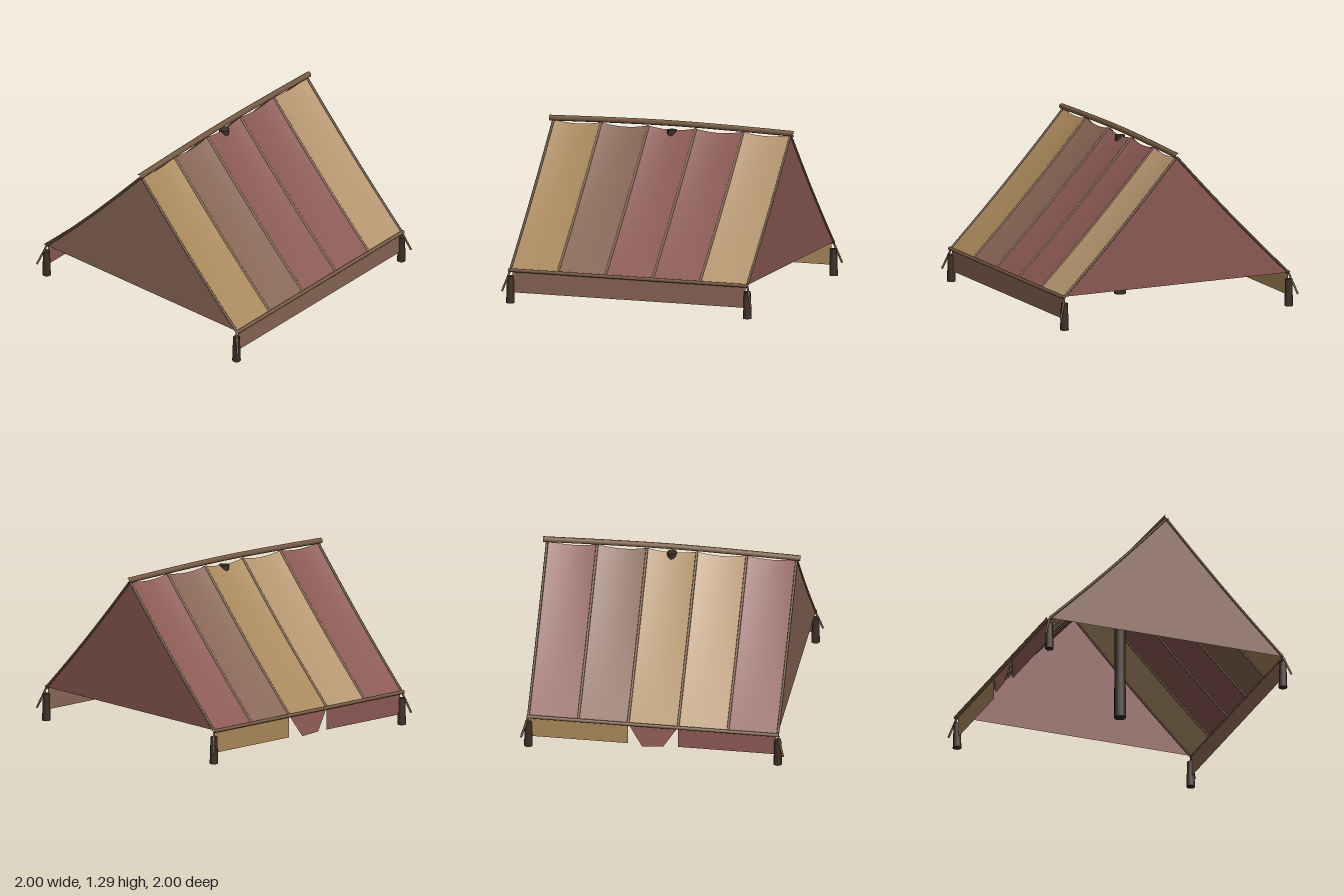
import * as THREE from 'three';

const HALF = 0.945, EAVE_Z = 0.94, EAVE_Y = 0.255, TOP = 1.235, STRIP = HALF * 2 / 5;
const OCHRE = 0xa8875a, BROWN = 0x876554, RED = 0x8a5852, SAND = 0xb4946e;
const WOOD = 0x765a42, DARK = 0x3a2d25;

const cloth = (color) => new THREE.MeshStandardMaterial({ color, side: THREE.DoubleSide });
const wood = (color) => new THREE.MeshStandardMaterial({ color });
const v = (x, y, z) => new THREE.Vector3(x, y, z);

// Height of the roof along its slope: t = 0 at the ridge, 1 at the eave
const slopeY = (t) => TOP + (EAVE_Y - TOP) * t - 0.018 * Math.sin(Math.PI * t);

export function createModel() {
  const group = new THREE.Group();
  const add = (name, geometry, material) => {
    const mesh = new THREE.Mesh(geometry, material);
    mesh.name = name;
    group.add(mesh);
    return mesh;
  };
  const rod = (name, points, radius, color, segments = 12) =>
    add(name, new THREE.TubeGeometry(new THREE.CatmullRomCurve3(points), segments, radius, 8), wood(color));
  const post = (name, x, z, top, r1, r2) =>
    add(name, new THREE.CylinderGeometry(r1, r2, top, 12), wood(DARK)).position.set(x, top / 2, z);
  const flat = (name, points, color) => {
    const shape = new THREE.Shape(points.map(([x, y]) => new THREE.Vector2(x, y)));
    return add(name, new THREE.ShapeGeometry(shape), cloth(color));
  };

  // Roof cloth strips, hanging slack between the seams
  const colors = {
    1: [OCHRE, BROWN, RED, RED, SAND],
    [-1]: [RED, SAND, OCHRE, BROWN, RED],
  };
  for (const side of [1, -1]) {
    colors[side].forEach((color, i) => {
      const g = new THREE.PlaneGeometry(1, 1, 10, 14);
      const p = g.attributes.position;
      for (let k = 0; k < p.count; k++) {
        const u = p.getX(k) + 0.5, t = 0.5 - p.getY(k);
        const slack = 0.022 * 4 * u * (1 - u) * (1 - t);
        const across = side > 0 ? u : 1 - u;
        p.setXYZ(k, -HALF + STRIP * (i + across), slopeY(t) - slack, side * EAVE_Z * t);
      }
      g.computeVertexNormals();
      add('roofStrip', g, cloth(color));
    });

    // Seam poles running down the slope
    for (let i = 0; i <= 5; i++) {
      const x = -HALF + STRIP * i;
      const points = [0, 0.25, 0.5, 0.75, 1].map((t) => v(x, slopeY(t) - 0.002, side * EAVE_Z * t));
      rod('seamPole', points, 0.01, i % 5 ? WOOD : 0x5c4733);
    }

    // Eave rail
    rod('eaveRail', [v(-0.955, 0.25, side * 0.95), v(0.955, 0.25, side * 0.95)], 0.014, WOOD, 1);

    // Corner posts and guy pegs
    for (const sx of [1, -1]) {
      post('cornerPost', sx * HALF, side * EAVE_Z, 0.205, 0.026, 0.033);
      rod('guyPeg', [v(sx * 0.945, 0.25, side * 0.94), v(sx * 0.993, 0.093, side * 0.993)], 0.008, WOOD, 1);
    }
  }

  // Triangular end walls following the sagging slope
  for (const sx of [1, -1]) {
    const outline = [];
    for (let i = -12; i <= 12; i++) outline.push([i / 12 * EAVE_Z, slopeY(Math.abs(i) / 12)]);
    const wall = flat('endWall', outline, sx > 0 ? RED : BROWN);
    wall.rotation.y = sx * Math.PI / 2;
    wall.position.x = sx * HALF;
  }

  // Hanging valances: one along the front, two at the back beside the doorway
  const valance = (x0, x1, z, color) =>
    flat('valance', [[x0, 0.08], [x1, 0.08], [x1, 0.25], [x0, 0.25]], color).position.z = z;
  valance(-0.93, 0.93, EAVE_Z, BROWN);
  valance(0.19, 0.93, -EAVE_Z, OCHRE);
  valance(-0.93, -0.19, -EAVE_Z, RED);

  // Tapered door flap, kicked slightly outward
  const flap = flat('doorFlap', [[-0.08, -0.165], [0.08, -0.175], [0.19, 0], [-0.19, 0]], RED);
  flap.position.set(0, 0.25, -EAVE_Z);
  flap.rotation.x = 0.16;

  // Ridge pole, bowed up in the middle, and the centre pole beneath it
  rod('ridgePole', [v(-0.975, 1.244, 0), v(-0.5, 1.257, 0), v(0, 1.264, 0), v(0.5, 1.257, 0), v(0.975, 1.244, 0)], 0.022, WOOD, 24);
  post('centrePole', 0, 0, 1.215, 0.038, 0.045);

  return group;
}
